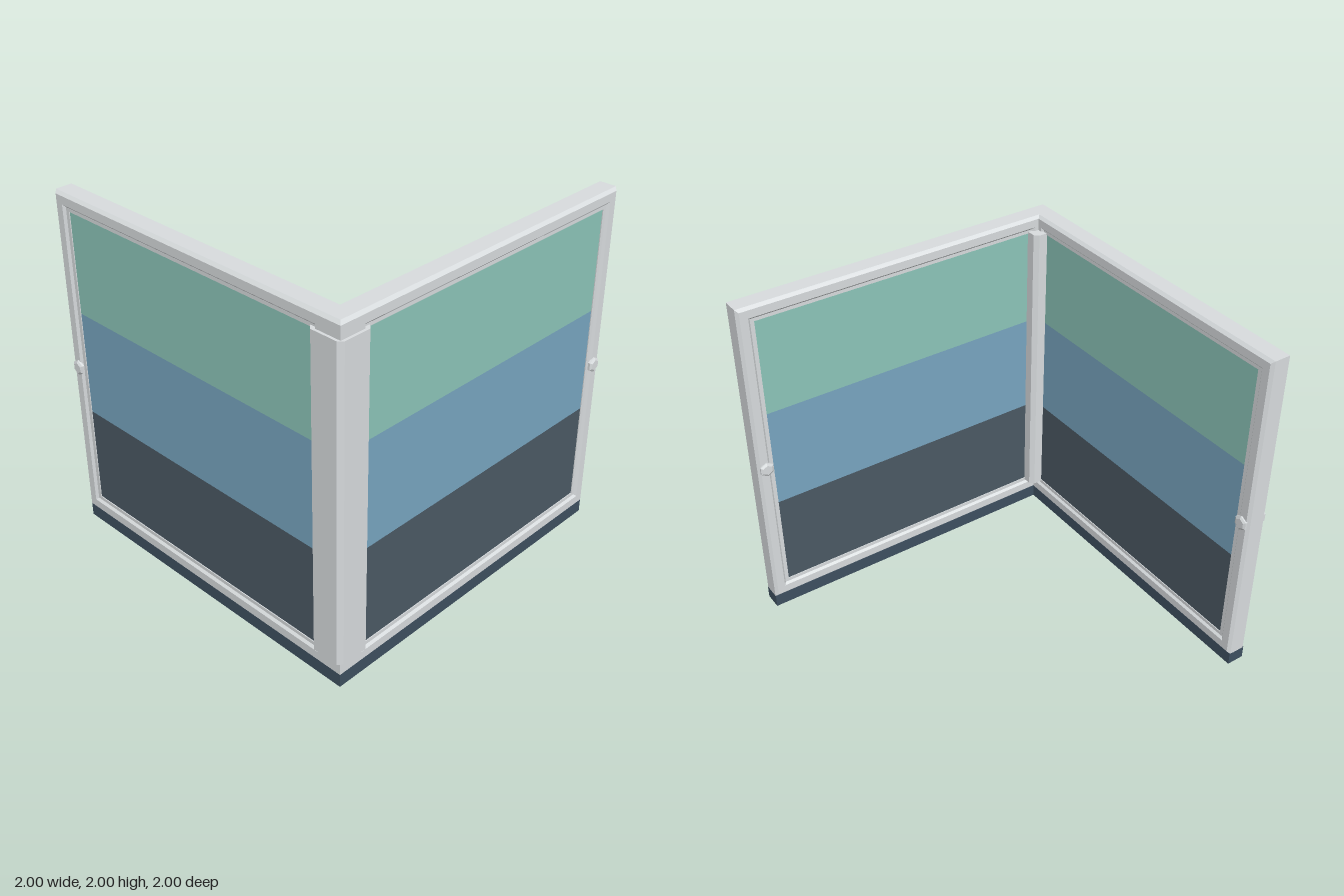
import * as THREE from 'three';

const mat = (name, color) => {
  const m = new THREE.MeshStandardMaterial({ color });
  m.name = name;
  return m;
};

const MID = 0.923; // distance of each wall's centre plane from the origin

export function createModel() {
  const metal = mat('light grey metal', 0xd8dcde);
  const base = mat('dark slate', 0x3e5060);
  const bands = [
    ['lowerPane', mat('charcoal glass', 0x4b5964), 0.16, 0.735],
    ['middlePane', mat('blue glass', 0x78a5c0), 0.735, 1.333],
    ['upperPane', mat('green glass', 0x8cc5b9), 1.333, 1.915],
  ];

  const add = (parent, name, geometry, material, x = 0, y = 0, z = 0) => {
    const m = new THREE.Mesh(geometry, material);
    m.name = name;
    m.position.set(x, y, z);
    parent.add(m);
  };

  const rect = (Type, x0, y0, x1, y1) => new Type([
    [x0, y0], [x1, y0], [x1, y1], [x0, y1],
  ].map(([x, y]) => new THREE.Vector2(x, y)));

  // Rectangular ring, chamfered on its outer and inner edges, centred in depth
  const ring = (outer, inner, depth, bevel) => {
    const shape = rect(THREE.Shape, ...outer);
    shape.holes.push(rect(THREE.Path, ...inner));
    const g = new THREE.ExtrudeGeometry(shape, {
      depth: depth - 2 * bevel, bevelEnabled: bevel > 0, bevelSize: bevel,
      bevelThickness: bevel, bevelOffset: -bevel, bevelSegments: 1,
    });
    return g.translate(0, 0, bevel - depth / 2);
  };

  // Cut the corner end of a wall frame on the 45 degree mitre plane
  const mitre = (g, s) => {
    const p = g.attributes.position;
    for (let i = 0; i < p.count; i++) {
      if (p.getX(i) * s > 0.95) p.setX(i, s * (MID + p.getZ(i)));
    }
    return g;
  };

  // One glazed wall; s = 1 puts the free end at -x, s = -1 at +x
  const wall = (name, s) => {
    const g = new THREE.Group();
    g.name = name;
    const span = (x0, y0, x1, y1) =>
      (s > 0 ? [x0, y0, x1, y1] : [-x1, y0, -x0, y1]);

    const frame = ring(span(-1, 0.075, 0.985, 2), span(-0.922, 0.155, 0.822, 1.922), 0.125, 0.016);
    add(g, 'frame', mitre(frame, s), metal);
    add(g, 'glazingBead', ring(span(-0.96, 0.12, 0.95, 1.96), span(-0.903, 0.172, 0.85, 1.906), 0.1, 0), metal);
    add(g, 'baseRail', new THREE.BoxGeometry(1.975, 0.077, 0.104), base, -0.0125 * s, 0.0385, 0);

    // Thick glazing in three stacked colours
    for (const [label, material, y0, y1] of bands) {
      add(g, label, new THREE.BoxGeometry(1.79, y1 - y0, 0.09), material, -0.02 * s, (y0 + y1) / 2, 0);
    }

    // Hexagonal bolt heads on both faces
    for (const side of [1, -1]) {
      const stem = new THREE.CylinderGeometry(0.044, 0.044, 0.012, 6).toNonIndexed();
      const cap = new THREE.CylinderGeometry(0.03, 0.044, 0.008, 6).toNonIndexed();
      for (const [label, geo, d] of [['boltHead', stem, 0.0635], ['boltCap', cap, 0.0735]]) {
        geo.rotateX(side * Math.PI / 2);
        geo.computeVertexNormals();
        add(g, label, geo, metal, -0.95 * s, 1, side * d);
      }
    }
    return g;
  };

  const model = new THREE.Group();
  model.name = 'cornerWindow';

  const front = wall('frontWall', 1);
  front.position.z = MID;
  const left = wall('leftWall', -1);
  left.rotation.y = Math.PI / 2;
  left.position.x = MID;
  model.add(front, left);

  // Chamfered square corner post
  const r = 0.1, k = 0.076;
  const section = new THREE.Shape([
    [k, -r], [r, -k], [r, k], [k, r], [-k, r], [-r, k], [-r, -k], [-k, -r],
  ].map(([x, y]) => new THREE.Vector2(x, y)));
  const post = new THREE.ExtrudeGeometry(section, { depth: 1.755, bevelEnabled: false });
  post.rotateX(-Math.PI / 2);
  add(model, 'cornerPost', post, metal, 0.9, 0.16, 0.9);

  return model;
}
